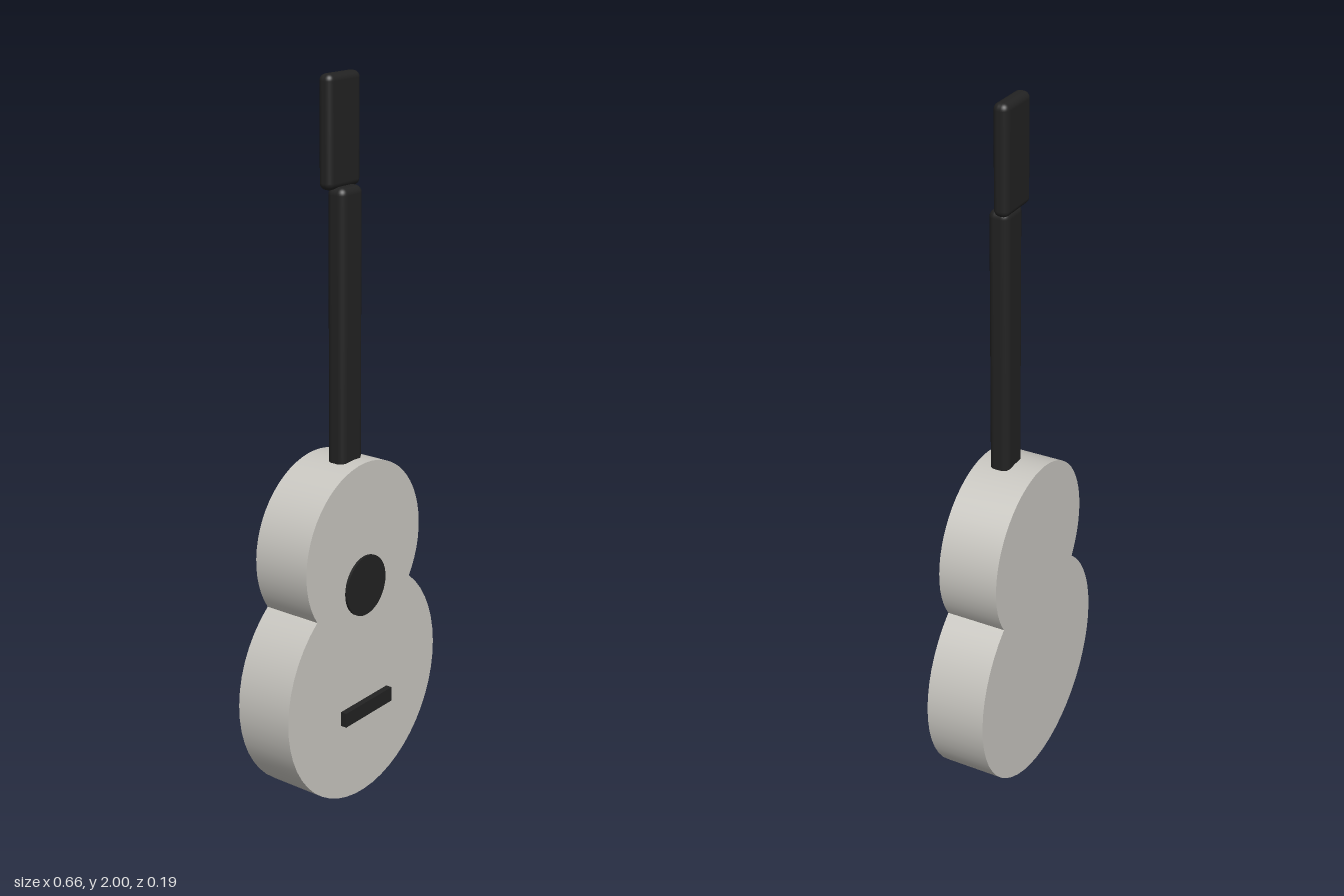
import * as THREE from 'three';
import { RoundedBoxGeometry } from 'three/addons/geometries/RoundedBoxGeometry.js';
import { toCreasedNormals } from 'three/addons/utils/BufferGeometryUtils.js';

const wood = new THREE.MeshStandardMaterial({ color: 0xc9c7c1 });
wood.name = 'paleBody';
const dark = new THREE.MeshStandardMaterial({ color: 0x222222 });
dark.name = 'blackTrim';

export function createModel() {
  const guitar = new THREE.Group();
  guitar.name = 'guitar';

  const add = (name, geometry, material, x, y, z) => {
    const mesh = new THREE.Mesh(geometry, material);
    mesh.name = name;
    mesh.position.set(x, y, z);
    guitar.add(mesh);
    return mesh;
  };

  // Body: two overlapping circles joined at a sharp waist
  const lower = { y: 0.33, r: 0.33 };
  const upper = { y: 0.73, r: 0.25 };
  const waistY = 0.588;
  const lowerAngle = Math.asin((waistY - lower.y) / lower.r);
  const upperAngle = Math.asin((waistY - upper.y) / upper.r);
  const outline = new THREE.Shape();
  outline.absarc(0, lower.y, lower.r, Math.PI - lowerAngle, Math.PI * 2 + lowerAngle, false);
  outline.absarc(0, upper.y, upper.r, upperAngle, Math.PI - upperAngle, false);
  const body = new THREE.ExtrudeGeometry(outline, { depth: 0.172, bevelEnabled: false, curveSegments: 20 });
  add('body', toCreasedNormals(body, 0.5), wood, 0, 0, -0.096);

  // Sound hole disc and bridge on the front face
  const hole = new THREE.CylinderGeometry(0.086, 0.086, 0.008, 40);
  hole.rotateX(Math.PI / 2);
  add('soundHole', hole, dark, 0, 0.628, 0.079);
  add('bridge', new THREE.BoxGeometry(0.208, 0.042, 0.02), dark, 0, 0.263, 0.084);

  // Neck, running a little way into the body, and the thinner headstock
  add('neck', new RoundedBoxGeometry(0.09, 0.775, 0.058, 4, 0.02), dark, 0, 1.3275, 0.008);
  add('headstock', new RoundedBoxGeometry(0.132, 0.292, 0.043, 4, 0.018), dark, 0, 1.854, -0.0095);

  return guitar;
}
